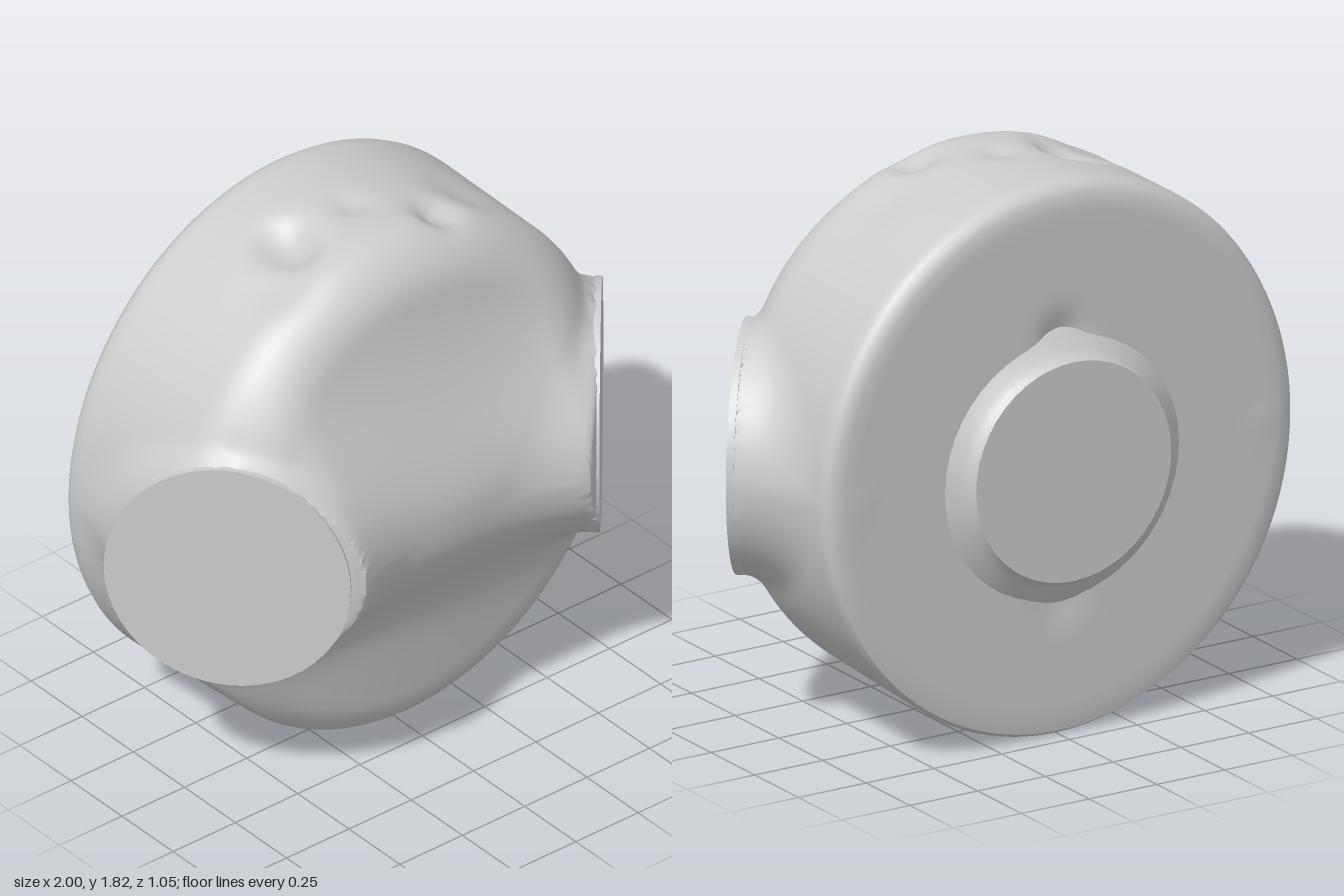
import * as THREE from 'three';
import { mergeVertices, toCreasedNormals } from 'three/addons/utils/BufferGeometryUtils.js';

const CENTER = new THREE.Vector3(0, 0.92, -0.1);
const X_SCALE = 0.95; // the drum is slightly narrower than tall

// Angled end faces: centre, outward direction and radius (the +x one; the other is mirrored)
const FACE = { x: 0.75, y: 0.905, z: 0.21, angle: 0.868, radius: 0.39 };
const NX = Math.sin(FACE.angle), NZ = Math.cos(FACE.angle);

// Small dents: x, y, z, radius, depth
const DENTS = [
  [-0.25, 1.78, -0.13, 0.07, 0.09],
  [-0.25, 1.78, -0.06, 0.06, 0.05],
  [0.21, 1.78, 0.06, 0.06, 0.06],
  [0, 1.83, -0.1, 0.05, 0.025],
  [0.42, 1.73, -0.05, 0.1, 0.02],
  [-0.38, 1.75, 0, 0.1, 0.02],
  [0, 1.31, -0.46, 0.07, 0.03],
  [0, 0.46, -0.455, 0.08, 0.012],
];

function smoothMin(a, b, k) {
  const h = Math.max(k - Math.abs(a - b), 0) / k;
  return Math.min(a, b) - h * h * k / 4;
}

// Rounded corner where two limits meet
function roundedMax(a, b, r) {
  const u = a + r, v = b + r;
  return Math.hypot(Math.max(u, 0), Math.max(v, 0)) - r + Math.min(Math.max(u, v), 0);
}

// Negative inside the body, positive outside
function bodyField(x, y, z) {
  const ax = Math.abs(x);

  // Drum, narrowing a little to the front
  const depth = z + 0.45;
  const rho = Math.hypot(x / X_SCALE, y - (0.912 + 0.03 * depth));
  const rim = rho - (0.91 - 0.03 * depth);

  // Shallow cone on the front with a saddle-shaped ridge running across it
  const dy = y - 0.94;
  const ridge = dy > 0 ? Math.exp(-((dy / 0.38) ** 2)) : Math.exp(-(Math.abs(dy / 0.32) ** 3));
  const fade = 1 - THREE.MathUtils.smoothstep(ax, 0.45, 0.75);
  const cone = 0.12 * Math.max(0, 1 - Math.hypot(rho, 0.12) / 0.85);
  const front = z - (0.22 + cone + (0.122 + 0.48 * ax * ax) * ridge * fade);
  const back = -0.458 - 0.014 * (y - 0.915) - z;
  const upper = THREE.MathUtils.clamp(dy / 0.5, -1, 1);
  const drum = roundedMax(roundedMax(rim, front, 0.145 + 0.03 * upper), back, 0.05 + 0.015 * upper);

  // Stubs leading to the angled faces, blended into the drum
  const px = ax - FACE.x, py = y - FACE.y, pz = z - FACE.z;
  const along = px * NX + pz * NZ;
  const radial = Math.hypot(px * NZ - pz * NX, py / 1.035);
  const stub = Math.max(radial - FACE.radius + 0.004, -along - 0.32);
  let d = smoothMin(drum, stub, 0.18 - 0.12 * Math.min(1, Math.abs(py) / 0.4));

  for (const [cx, cy, cz, r, amount] of DENTS) {
    d += amount * Math.exp(-((x - cx) ** 2 + (y - cy) ** 2 + (z - cz) ** 2) / (r * r));
  }

  // Cut off at the face, drawing in to its rim
  const flare = (radial - FACE.radius + 0.022 + 2.5 * along) / 2.7;
  return Math.max(d, flare, along + 0.008);
}

// Push every vertex of a sphere out to the body's surface
function bodyGeometry() {
  const sphere = new THREE.SphereGeometry(1, 200, 140).rotateX(Math.PI / 2);
  sphere.deleteAttribute('uv');
  sphere.deleteAttribute('normal');
  const geometry = mergeVertices(sphere, 1e-5);
  const pos = geometry.attributes.position;
  const dir = new THREE.Vector3(), p = new THREE.Vector3();
  for (let i = 0; i < pos.count; i++) {
    dir.fromBufferAttribute(pos, i);
    dir.x *= X_SCALE;
    let lo = 0.1, hi = 1.6;
    for (let step = 0; step < 26; step++) {
      const mid = (lo + hi) / 2;
      p.copy(CENTER).addScaledVector(dir, mid);
      if (bodyField(p.x, p.y, p.z) < 0) lo = mid;
      else hi = mid;
    }
    p.copy(CENTER).addScaledVector(dir, lo);
    pos.setXYZ(i, p.x, p.y, p.z);
  }
  return toCreasedNormals(geometry, 0.7);
}

export function createModel() {
  const model = new THREE.Group();
  model.name = 'hubConnector';
  const material = new THREE.MeshStandardMaterial({ color: 0xcccccc });

  function add(name, geometry) {
    const mesh = new THREE.Mesh(geometry, material);
    mesh.name = name;
    model.add(mesh);
    return mesh;
  }

  add('body', bodyGeometry());

  // Flat angled end faces, left and right
  for (const side of [1, -1]) {
    const geometry = new THREE.CylinderGeometry(FACE.radius, FACE.radius, 0.024, 48)
      .rotateX(Math.PI / 2)
      .scale(1, 1.035, 1)
      .translate(0, 0, -0.012)
      .rotateY(side * FACE.angle);
    add(side > 0 ? 'leftEndFace' : 'rightEndFace', geometry)
      .position.set(side * FACE.x, FACE.y, FACE.z);
  }

  // Flared collar with a flat end on the back
  const profile = [[0.46, -0.02], [0.425, 0.008], [0.39, 0.03], [0.37, 0.05], [0.36, 0.07], [0, 0.07]]
    .map(([r, h]) => new THREE.Vector2(r, h));
  const collar = new THREE.LatheGeometry(profile, 48).rotateX(-Math.PI / 2);
  collar.deleteAttribute('uv');
  collar.deleteAttribute('normal');
  add('backCollar', toCreasedNormals(collar, 0.6)).position.set(0, 0.893, -0.455);

  return model;
}
